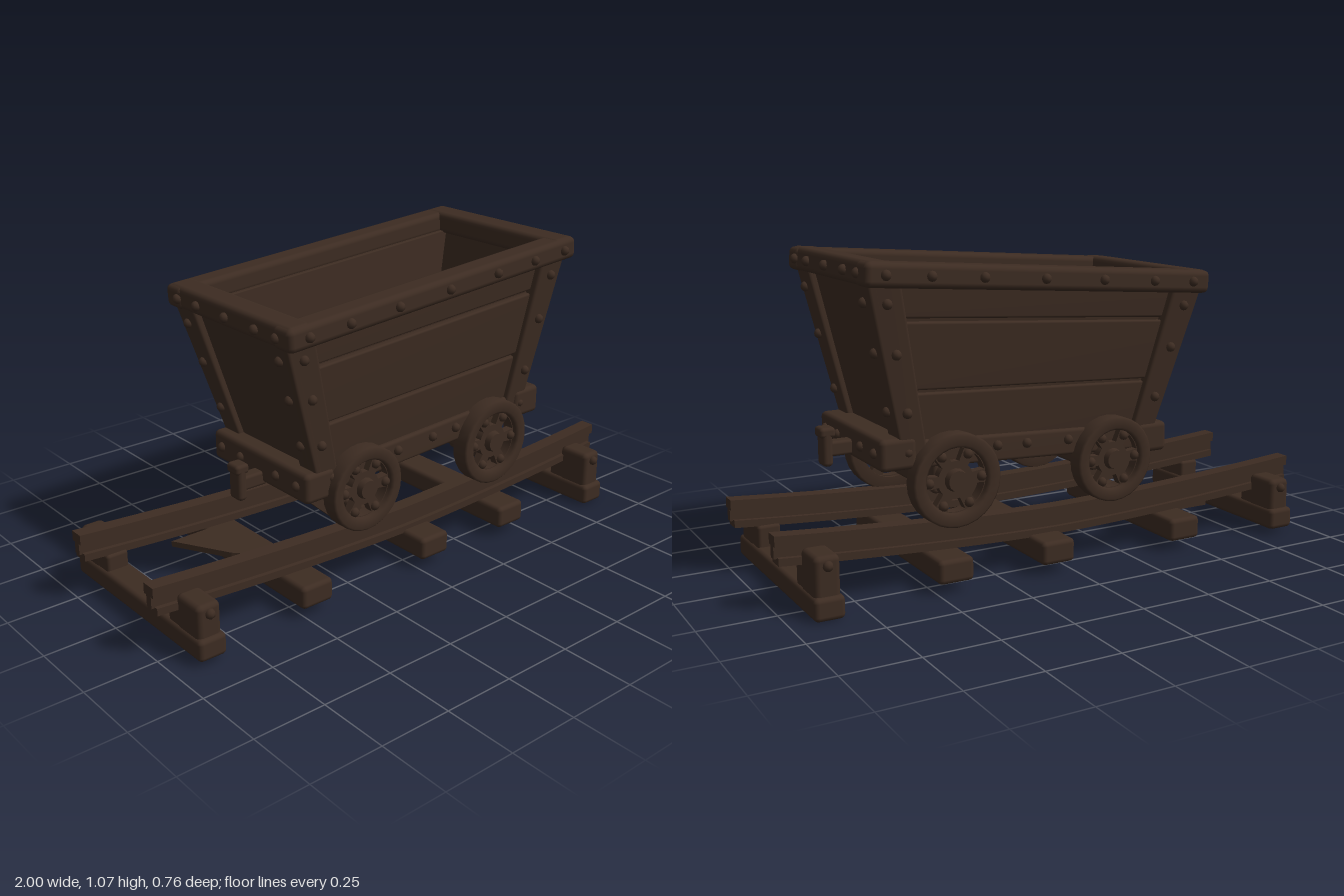
import * as THREE from 'three';
import { mergeVertices } from 'three/addons/utils/BufferGeometryUtils.js';
import { RoundedBoxGeometry } from 'three/addons/geometries/RoundedBoxGeometry.js';

const lerp = THREE.MathUtils.lerp;

export function createModel() {
  const root = new THREE.Group();
  root.name = 'mineCart';
  const wood = new THREE.MeshStandardMaterial({ color: 0x3d2c22 });
  wood.name = 'darkBrown';

  const group = (name, parent = root) => {
    const g = new THREE.Group();
    g.name = name;
    parent.add(g);
    return g;
  };
  const add = (name, geo, parent) => {
    const m = new THREE.Mesh(geo, wood);
    m.name = name;
    parent.add(m);
    return m;
  };
  // softly bevelled block given by its extents, optionally bent by a rule
  const block = (name, parent, [x0, x1], [y0, y1], [z0, z1], rule, r = 0.012) => {
    const w = x1 - x0, h = y1 - y0, d = z1 - z0;
    let g = new RoundedBoxGeometry(w, h, d, 2, Math.min(r, w * 0.4, h * 0.4, d * 0.4));
    g.translate((x0 + x1) / 2, (y0 + y1) / 2, (z0 + z1) / 2);
    if (rule) {
      g.deleteAttribute('normal');
      g.deleteAttribute('uv');
      g = mergeVertices(g, 1e-5);
      bend(g, rule);
    }
    return add(name, g, parent);
  };
  const bend = (g, rule) => {
    const p = g.attributes.position;
    for (let i = 0; i < p.count; i++) p.setXYZ(i, ...rule(p.getX(i), p.getY(i), p.getZ(i)));
    g.computeVertexNormals();
    return g;
  };
  const rivetGeo = new THREE.SphereGeometry(0.017, 8, 6);
  const rivet = (parent, x, y, z) => add('rivet', rivetGeo, parent).position.set(x, y, z);

  // hopper flare: wider and more sloped towards the top
  const flare = (x, y, z) => {
    const t = (y - 0.45) / 0.5;
    const X = lerp(0.1, 0.088, t) + x * lerp(0.48, 0.615, t) / 0.55;
    return [X, y + X * lerp(0.035, 0.07, t), z * lerp(0.25, 0.3, t) / 0.275];
  };

  // ---- hopper ----
  const hopper = group('hopper');
  block('floor', hopper, [-0.52, 0.52], [0.41, 0.45], [-0.24, 0.24], flare);
  const planks = [[0.43, 0.615], [0.625, 0.835], [0.845, 0.955]];
  for (const s of [-1, 1]) {
    const span = (a, b) => (s > 0 ? [a, b] : [-b, -a]);
    block('sideLining', hopper, [-0.52, 0.52], [0.42, 0.95], span(0.218, 0.24), flare, 0.004);
    block('endLining', hopper, span(0.5, 0.522), [0.42, 0.95], [-0.235, 0.235], flare, 0.004);
    planks.forEach(([a, b], i) => {
      block('sidePlank', hopper, [-0.5, 0.5], [a, b], span(0.232, 0.257 + (i === 1 ? 0.004 : 0)), flare, 0.008);
    });
    block('endPanel', hopper, span(0.515, 0.53), [0.43, 0.955], [-0.22, 0.22], flare, 0.005);
    // corner posts, each an angle of two boards
    for (const e of [-1, 1]) {
      const ex = (a, b) => (e > 0 ? [a, b] : [-b, -a]);
      block('cornerPostSide', hopper, ex(0.45, 0.555), [0.41, 0.96], span(0.235, 0.28), flare);
      block('cornerPostEnd', hopper, ex(0.515, 0.555), [0.41, 0.96], span(0.185, 0.28), flare);
      for (const y of [0.56, 0.74, 0.89]) {
        rivet(hopper, ...flare(e * 0.505, y, s * 0.282));
        rivet(hopper, ...flare(e * 0.557, y, s * 0.235));
      }
    }
  }

  // ---- sloping top rim ----
  const rim = group('topRim');
  rim.position.set(0.09, 0.984, 0);
  rim.rotation.z = 0.07;
  for (const s of [-1, 1]) {
    const span = (a, b) => (s > 0 ? [a, b] : [-b, -a]);
    block('rimSide', rim, [-0.635, 0.635], [-0.04, 0.038], span(0.25, 0.34), null, 0.02);
    block('rimEnd', rim, span(0.535, 0.63), [-0.039, 0.04], [-0.335, 0.335], null, 0.02);
    for (const x of [-0.56, -0.4, -0.2, 0.02, 0.24, 0.42, 0.57]) rivet(rim, x, 0, s * 0.342);
    for (const z of [-0.27, -0.16, 0, 0.16, 0.27]) rivet(rim, s * 0.634, 0, z);
  }

  // ---- underframe ----
  const frame = group('underframe');
  const slope = (x, y, z) => [x, y + 0.045 * x, z];
  for (const s of [-1, 1]) {
    const span = (a, b) => (s > 0 ? [a, b] : [-b, -a]);
    block('sill', frame, [-0.38, 0.6], [0.375, 0.465], span(0.17, 0.25), slope);
    for (const x of [-0.32, -0.03, 0.13, 0.24, 0.56]) rivet(frame, ...slope(x, 0.43, s * 0.252));
    // triangular guard ahead of the rear wheels
    const tri = new THREE.Shape([[-0.4, 0.345], [-0.29, 0.245], [-0.2, 0.37], [-0.36, 0.38]]
      .map(p => new THREE.Vector2(...p)));
    const guard = add('wheelGuard', new THREE.ExtrudeGeometry(tri, { depth: 0.03, bevelEnabled: false }), frame);
    guard.position.z = s * 0.22 - 0.015;
  }
  block('frontBeam', frame, [0.53, 0.655], [0.4, 0.505], [-0.262, 0.262], null, 0.018);
  block('rearBeam', frame, [-0.43, -0.31], [0.345, 0.45], [-0.262, 0.262], null, 0.018);
  for (const z of [-0.21, -0.1, 0.1, 0.21]) {
    rivet(frame, 0.655, 0.455, z);
    rivet(frame, -0.43, 0.4, z);
  }

  // couplings: shank, buffer head and hooked lips
  for (const [s, x, y] of [[1, 0.655, 0.44], [-1, -0.43, 0.365]]) {
    const c = group('coupling');
    c.position.set(x, y, 0);
    c.scale.x = 1;
    const span = (a, b) => (s > 0 ? [a, b] : [-b, -a]);
    block('couplingShank', c, span(-0.02, 0.08), [-0.028, 0.022], [-0.025, 0.025], null, 0.01);
    block('couplingHead', c, span(0.065, 0.1), [-0.06, 0.065], [-0.031, 0.031], null, 0.014);
    block('couplingLip', c, span(0.055, 0.108), [0.035, 0.07], [-0.031, 0.031], null, 0.012);
  }

  // ---- wheels ----
  const wheel = (x, y, s, r) => {
    const w = group('wheel');
    w.position.set(x, y, s * 0.26);
    // tyre with a wider inner flange
    const pts = [[0.7, -0.032], [0.96, -0.032], [1, -0.022], [1, 0.03], [0.95, 0.037], [0.76, 0.037], [0.7, 0.028], [0.7, -0.032]];
    const tyre = new THREE.LatheGeometry(pts.map(([a, b]) => new THREE.Vector2(a * r, b)), 28);
    tyre.rotateX(s * Math.PI / 2);
    add('tyre', tyre, w);
    // web pierced by six windows
    const web = new THREE.Shape().absarc(0, 0, r * 0.74, 0, Math.PI * 2);
    for (let i = 0; i < 6; i++) {
      const a = i * Math.PI / 3 + 0.2, b = a + 0.62;
      const hole = new THREE.Path();
      hole.absarc(0, 0, r * 0.68, a, b, false);
      hole.absarc(0, 0, r * 0.4, b - 0.08, a + 0.08, true);
      hole.closePath();
      web.holes.push(hole);
    }
    const webGeo = new THREE.ExtrudeGeometry(web, { depth: 0.03, bevelEnabled: false, curveSegments: 10 });
    add('spokes', webGeo, w).position.z = -0.015;
    const hub = new THREE.CylinderGeometry(r * 0.22, r * 0.32, 0.075, 14).rotateX(s * Math.PI / 2);
    add('hub', hub, w);
    for (let i = 0; i < 6; i++) {
      const a = i * Math.PI / 3 - 0.02;
      add('wheelBolt', rivetGeo, w).position.set(Math.cos(a) * r * 0.6, Math.sin(a) * r * 0.6, s * 0.015);
    }
  };
  for (const [x, y, r] of [[-0.195, 0.347, 0.147], [0.405, 0.352, 0.155]]) {
    wheel(x, y, 1, r);
    wheel(x, y, -1, r);
    const axle = add('axle', new THREE.CylinderGeometry(0.03, 0.03, 0.5, 12).rotateX(Math.PI / 2), frame);
    axle.position.set(x, y, 0);
    block('axleBeam', frame, [x - 0.05, x + 0.05], [0.295, 0.4], [-0.215, 0.215]);
  }

  // ---- track ----
  const track = group('track');
  const sag = (x, y, z) => [x, y + 0.05 * Math.abs(x) ** 1.6, z];
  for (const s of [-1, 1]) {
    const layers = [['railHead', 0.165, 0.2, 0.052], ['railWeb', 0.125, 0.17, 0.026], ['railFoot', 0.105, 0.13, 0.058]];
    for (const [name, a, b, w] of layers) {
      const g = new THREE.BoxGeometry(name === 'railFoot' ? 1.98 : 2, b - a, w, 20, 1, 1);
      g.translate(0, (a + b) / 2, s * 0.222);
      add(name, bend(g, sag), track);
    }
    // end sleepers with raised chairs outside the rails
    const x = s * 0.875, y = s > 0 ? 0 : 0.018;
    block('endSleeper', track, [x - 0.05, x + 0.05], [y, y + 0.075], [-0.375, 0.375], null, 0.016);
    for (const e of [-1, 1]) {
      block('railChair', track, [x - 0.042, x + 0.042], [y + 0.05, 0.2],
        e > 0 ? [0.235, 0.36] : [-0.36, -0.235], null, 0.018);
      block('railSeat', track, [x - 0.04, x + 0.04], [y + 0.05, 0.15], [e * 0.22 - 0.035, e * 0.22 + 0.035]);
      rivet(track, x, 0.17, e * 0.362);
    }
  }
  for (const x of [-0.455, 0.062, 0.44]) {
    block('middleSleeper', track, [x - 0.062, x + 0.062], [0.035, 0.115], [-0.352, 0.352], null, 0.016);
  }
  // splintered wedge beside the rear sleeper
  const splinter = new THREE.Shape([[-0.66, 0.2], [-0.46, 0.2], [-0.46, -0.1], [-0.55, 0]]
    .map(p => new THREE.Vector2(...p)));
  const splinterGeo = new THREE.ExtrudeGeometry(splinter, { depth: 0.02, bevelEnabled: false });
  add('sleeperSplinter', splinterGeo.rotateX(-Math.PI / 2), track).position.y = 0.095;

  return root;
}
